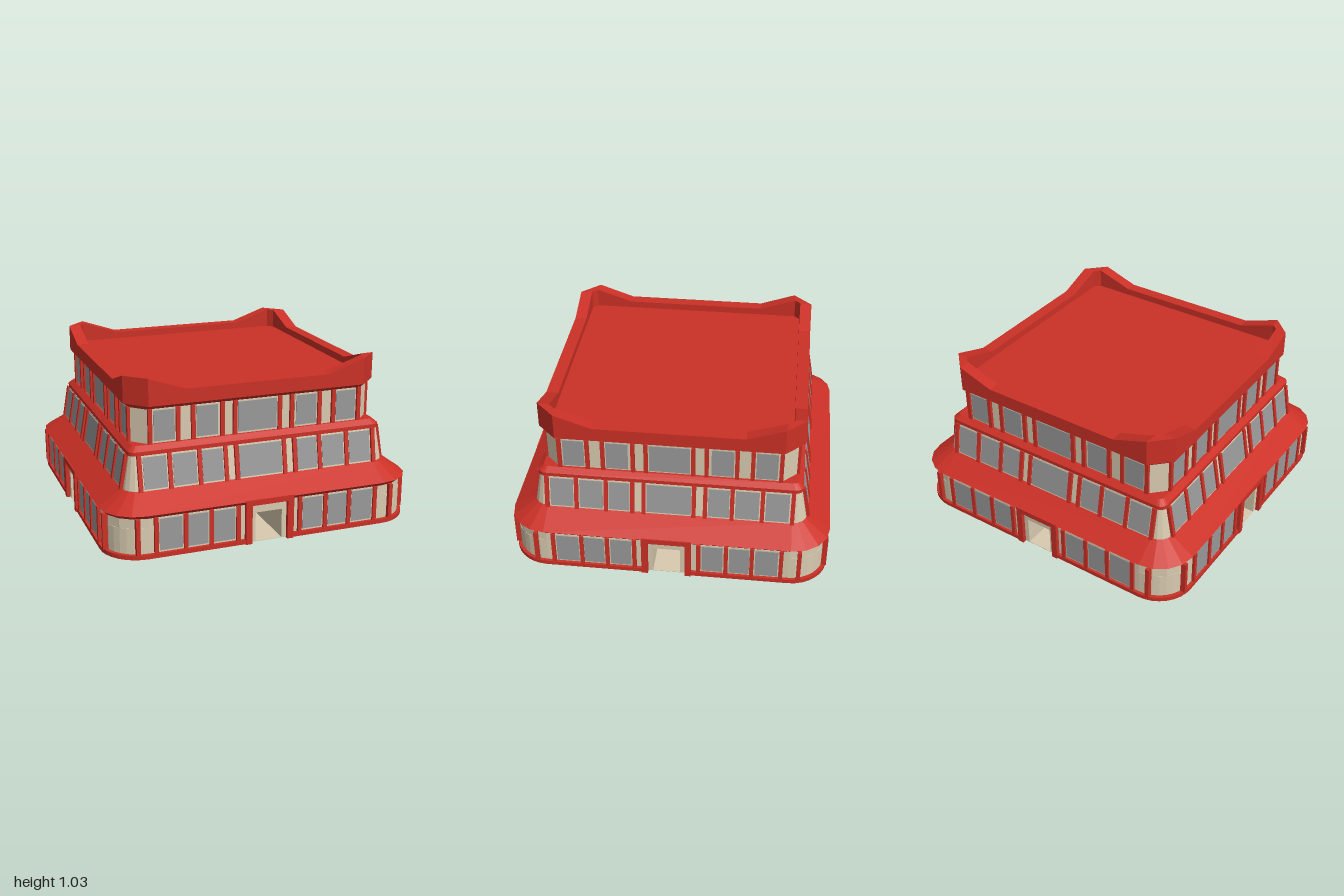
import * as THREE from 'three';

const material = (name, color) => {
  const m = new THREE.MeshStandardMaterial({ color });
  m.name = name;
  return m;
};

// Horizontal outline of a square with rounded (or, with one segment, chamfered) corners
function ring(half, r, y, segs = 4) {
  const pts = [], c = half - r;
  [[1, 1], [-1, 1], [-1, -1], [1, -1]].forEach(([sx, sy], k) => {
    for (let j = 0; j <= segs; j++) {
      const a = (k + j / segs) * Math.PI / 2;
      pts.push(new THREE.Vector3(sx * c + r * Math.cos(a), y, -(sy * c + r * Math.sin(a))));
    }
  });
  return pts;
}

// Octagonal outline whose height rises from yMid to yCorner beyond the middle of each side
function sweptRing(half, a, yMid, yCorner) {
  const pts = [];
  for (let k = 0; k < 4; k++) {
    for (const [s, y] of [[-a, yCorner], [-0.46, yMid], [0.46, yMid], [a, yCorner]]) {
      pts.push(new THREE.Vector3(half, y, -s).applyAxisAngle(new THREE.Vector3(0, 1, 0), k * Math.PI / 2));
    }
  }
  return pts;
}

// Flat-shaded skin through a stack of outlines, optionally closed at either end
function loft(name, mat, rings, capTop = false, capBottom = false) {
  const pos = [];
  const tri = (...ps) => ps.forEach((p) => pos.push(p.x, p.y, p.z));
  const n = rings[0].length;
  for (let i = 0; i < n; i++) {
    const j = (i + 1) % n;
    for (let k = 0; k + 1 < rings.length; k++) {
      const lo = rings[k], up = rings[k + 1];
      tri(lo[i], lo[j], up[j]);
      tri(lo[i], up[j], up[i]);
    }
    const top = rings[rings.length - 1], bottom = rings[0];
    if (capTop) tri(top[i], top[j], new THREE.Vector3(0, top[0].y, 0));
    if (capBottom) tri(bottom[j], bottom[i], new THREE.Vector3(0, bottom[0].y, 0));
  }
  const geo = new THREE.BufferGeometry();
  geo.setAttribute('position', new THREE.Float32BufferAttribute(pos, 3));
  geo.computeVertexNormals();
  const mesh = new THREE.Mesh(geo, mat);
  mesh.name = name;
  return mesh;
}

function box(name, mat, w, h, d, x, y, z) {
  const mesh = new THREE.Mesh(new THREE.BoxGeometry(w, h, d), mat);
  mesh.position.set(x, y, z);
  mesh.name = name;
  return mesh;
}

// One corner block of the ground storey, cut by the passages and the round lobby
function cornerBlock(name, mat, half, r, gap, lobby, y0, y1) {
  const a = Math.sqrt(lobby * lobby - gap * gap);
  const s = new THREE.Shape();
  s.moveTo(gap, a);
  s.lineTo(gap, half);
  s.lineTo(half - r, half);
  s.absarc(half - r, half - r, r, Math.PI / 2, 0, true);
  s.lineTo(half, gap);
  s.lineTo(a, gap);
  s.absarc(0, 0, lobby, Math.atan2(gap, a), Math.atan2(a, gap), false);
  const geo = new THREE.ExtrudeGeometry(s, { depth: y1 - y0, bevelEnabled: false, curveSegments: 4 });
  geo.rotateX(-Math.PI / 2);
  geo.translate(0, y0, 0);
  const mesh = new THREE.Mesh(geo, mat);
  mesh.name = name;
  return mesh;
}

export function createModel() {
  const red = material('red', 0xcb3026);
  const cream = material('cream', 0xd9cbb0);
  const grey = material('window grey', 0x9a9a9a);
  const model = new THREE.Group();
  model.name = 'building';

  // Floor and lobby disc
  model.add(loft('floor', cream, [ring(0.975, 0.22, 0.002), ring(0.975, 0.22, 0.005)], true, true));
  const disc = new THREE.Mesh(new THREE.CylinderGeometry(0.32, 0.32, 0.007, 32), red);
  disc.position.y = 0.0035;
  disc.name = 'lobbyDisc';
  model.add(disc);

  // Storey walls and the roofs between them
  model.add(
    loft('groundWallTop', cream, [ring(0.975, 0.22, 0.19), ring(0.975, 0.22, 0.27)], true, true),
    loft('skirtRoof', red, [ring(0.976, 0.22, 0.25), ring(1, 0.235, 0.275), ring(0.85, 0.09, 0.37)], true),
    loft('middleWall', cream, [ring(0.85, 0.09, 0.365), ring(0.81, 0.05, 0.59)]),
    loft('middleLedge', red, [ring(0.805, 0.05, 0.575), ring(0.818, 0.05, 0.578),
      ring(0.818, 0.05, 0.602), ring(0.785, 0.03, 0.63)], true, true),
    loft('upperWall', cream, [ring(0.77, 0.08, 0.625, 1), ring(0.77, 0.08, 0.85, 1)]),
    loft('upperEave', red, [ring(0.77, 0.08, 0.84, 1), ring(0.812, 0.12, 0.868, 1)], false, true),
    loft('parapetAndDeck', red, [sweptRing(0.812, 0.692, 0.868, 0.868), sweptRing(0.812, 0.692, 0.955, 1.035),
      sweptRing(0.735, 0.70, 0.955, 1.035), sweptRing(0.735, 0.70, 0.91, 0.91)], true),
  );

  // Mirrored pillar centres and window spans of each storey
  const storeys = [
    { name: 'ground', y0: 0.03, y1: 0.255, z0: 0.975, z1: 0.975,
      pillars: [0.2, 0.37, 0.53, 0.71, 0.82],
      windows: [[0.22, 0.35], [0.39, 0.515], [0.55, 0.69]] },
    { name: 'middle', y0: 0.365, y1: 0.58, z0: 0.85, z1: 0.812,
      pillars: [0.155, 0.225, 0.39, 0.575, 0.76],
      windows: [[-0.138, 0.138], [0.243, 0.373], [0.41, 0.555], [0.595, 0.738]] },
    { name: 'upper', y0: 0.63, y1: 0.845, z0: 0.77, z1: 0.77,
      pillars: [0.145, 0.225, 0.41, 0.505, 0.677],
      windows: [[-0.125, 0.125], [0.255, 0.39], [0.525, 0.655]] },
  ];

  function facade({ name, y0, y1, z0, z1, pillars, windows }) {
    const g = new THREE.Group();
    g.name = name + 'Facade';
    const h = Math.hypot(y1 - y0, z0 - z1);
    g.position.set(0, (y0 + y1) / 2, (z0 + z1) / 2);
    g.rotation.x = -Math.atan2(z0 - z1, y1 - y0);
    for (const side of [-1, 1]) {
      for (const x of pillars) g.add(box('pillar', red, 0.025, h, 0.036, side * x, 0, 0));
      for (const [a, b] of windows) {
        if (a < 0 && side < 0) continue;
        const x = side * (a + b) / 2;
        g.add(box('windowFrame', cream, b - a + 0.014, h - 0.008, 0.012, x, 0, 0));
        g.add(box('windowPane', grey, b - a, h - 0.028, 0.02, x, 0, 0));
      }
    }
    return g;
  }

  // Four identical sides, each with one corner block and one doorway
  for (let k = 0; k < 4; k++) {
    const side = new THREE.Group();
    side.name = 'side' + (k + 1);
    side.rotation.y = k * Math.PI / 2;
    side.add(cornerBlock('groundWall', cream, 0.975, 0.22, 0.085, 0.32, 0.004, 0.19));
    side.add(cornerBlock('baseBand', red, 0.995, 0.235, 0.12, 0.34, 0.003, 0.03));
    for (const s of [-1, 1]) side.add(box('doorPost', red, 0.04, 0.28, 0.045, s * 0.135, 0.14, 0.978));
    side.add(box('doorLintel', red, 0.31, 0.034, 0.045, 0, 0.263, 0.978));
    storeys.forEach((s) => side.add(facade(s)));
    model.add(side);
  }
  return model;
}
